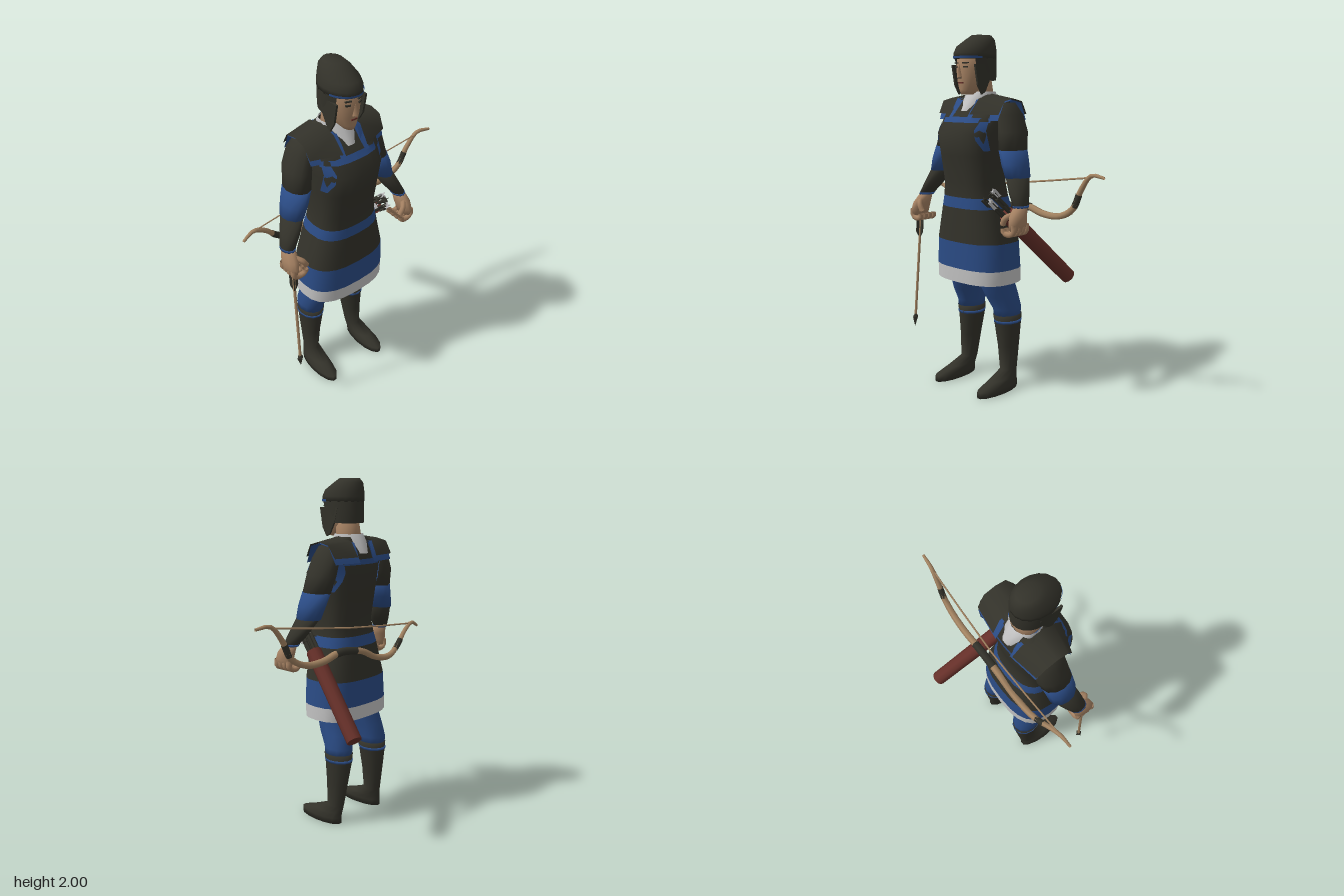
import * as THREE from 'three';

const CX = -0.13; // body axis
const V = (x, y, z) => new THREE.Vector3(x, y, z);
const paint = (name, color) => {
  const m = new THREE.MeshStandardMaterial({ color, side: THREE.DoubleSide });
  m.name = name;
  return m;
};

// Horizontal rings [x, y, z, rx, rz], listed from low to high, joined into a skin
function loft(rings, { n = 14, p = 1, from = 0, to = Math.PI * 2, caps = true } = {}) {
  const pos = [], idx = [], closed = to - from > 6.28, cols = closed ? n : n + 1;
  const pw = v => Math.sign(v) * Math.abs(v) ** p;
  for (const [x, y, z, rx, rz] of rings) {
    for (let j = 0; j < cols; j++) {
      const a = from + (to - from) * j / n;
      pos.push(x + rx * pw(Math.cos(a)), y, z + rz * pw(Math.sin(a)));
    }
  }
  for (let i = 0; i < rings.length - 1; i++) {
    for (let j = 0; j < n; j++) {
      const a = i * cols + j, b = i * cols + (j + 1) % cols;
      idx.push(a, a + cols, b, b, a + cols, b + cols);
    }
  }
  if (caps && closed) {
    const low = pos.length / 3, top = (rings.length - 1) * cols, last = rings[rings.length - 1];
    pos.push(...rings[0].slice(0, 3), ...last.slice(0, 3));
    for (let j = 0; j < n; j++) {
      idx.push(low, j, (j + 1) % n, low + 1, top + (j + 1) % n, top + j);
    }
  }
  return skin(pos, idx);
}

function skin(pos, idx) {
  const g = new THREE.BufferGeometry();
  g.setAttribute('position', new THREE.Float32BufferAttribute(pos, 3));
  g.setIndex(idx);
  g.computeVertexNormals();
  return g;
}

// Strip joining two equally long rows of points
function strip(a, b) {
  const pos = [], idx = [];
  a.forEach((v, i) => {
    pos.push(...v.toArray(), ...b[i].toArray());
    if (i) idx.push(2 * i - 2, 2 * i - 1, 2 * i, 2 * i, 2 * i - 1, 2 * i + 1);
  });
  return skin(pos, idx);
}

const tube = (pts, r, seg = 8, sides = 6) =>
  new THREE.TubeGeometry(new THREE.CatmullRomCurve3(pts), seg, r, sides, false);

// Torso outline: y, half width, front z, back z
const TORSO = [
  [0.64, 0.255, 0.28, -0.07], [0.72, 0.255, 0.283, -0.07], [0.87, 0.245, 0.285, -0.065],
  [1.06, 0.2, 0.275, -0.035], [1.12, 0.185, 0.27, -0.02], [1.2, 0.175, 0.27, -0.005],
  [1.35, 0.185, 0.295, -0.03], [1.47, 0.2, 0.31, -0.045], [1.57, 0.212, 0.232, -0.045],
  [1.64, 0.19, 0.17, -0.01], [1.68, 0.09, 0.13, 0.01]];
const P = 0.75;
const torsoRing = ([y, w, f, b]) => [CX, y, (f + b) / 2, w, (f - b) / 2];

// Point just outside the torso, front (+1) or back (-1)
function onTorso(x, y, face) {
  let i = 0;
  while (i < TORSO.length - 2 && TORSO[i + 1][0] < y) i++;
  const t = (y - TORSO[i][0]) / (TORSO[i + 1][0] - TORSO[i][0]);
  const [, w, f, b] = TORSO[i].map((v, k) => v + (TORSO[i + 1][k] - v) * t);
  const u = Math.min(1, Math.abs(x) / w) ** (2 / P);
  return V(CX + x, y, (f + b) / 2 + face * ((f - b) / 2 * Math.sqrt(1 - u) ** P + 0.006));
}

export function createModel() {
  const root = new THREE.Group();
  root.name = 'archer';
  const dark = paint('dark leather', 0x33322a), blue = paint('blue cloth', 0x2b4c86);
  const skinTone = paint('skin', 0xa68263), white = paint('white cloth', 0xc4c4c4);
  const red = paint('red quiver', 0x663029), wood = paint('wood', 0xa48462);
  const add = (name, geo, mat, parent = root) => {
    const m = new THREE.Mesh(geo, mat);
    m.name = name;
    parent.add(m);
    return m;
  };

  // Tunic, belt and breastplate, split by colour
  for (const [name, a, b, mat] of [['tunicHem', 0, 1, white], ['tunicSkirt', 1, 2, blue],
    ['hipArmour', 2, 3, dark], ['belt', 3, 4, blue], ['breastplate', 4, 10, dark]]) {
    add(name, loft(TORSO.slice(a, b + 1).map(torsoRing), { n: 24, p: P, caps: false }), mat);
  }
  add('collar', loft([[CX, 1.59, 0.085, 0.075, 0.137], [CX, 1.65, 0.08, 0.09, 0.107],
    [CX, 1.695, 0.08, 0.083, 0.078]], { caps: false }), white);
  add('neck', loft([[CX, 1.62, 0.08, 0.08, 0.08], [CX, 1.7, 0.085, 0.07, 0.07],
    [CX, 1.79, 0.1, 0.065, 0.07]]), skinTone);

  // Blue trims lying on the breastplate: [x, y inner edge] to [x, y outer edge]
  const trims = [
    [[[0, 1.53], [0.06, 1.53], [0.12, 1.53], [0.19, 1.53]], [[0, 1.56], [0.06, 1.56], [0.12, 1.555], [0.19, 1.555]]],
    [[[0.055, 1.65], [0.055, 1.6], [0.06, 1.55]], [[0.09, 1.65], [0.09, 1.6], [0.09, 1.55]]],
    [[[0.15, 1.535], [0.14, 1.49], [0.15, 1.44], [0.172, 1.38]], [[0.185, 1.535], [0.185, 1.49], [0.188, 1.44], [0.185, 1.38]]]];
  for (const face of [1, -1]) for (const s of [1, -1]) for (const [a, b] of trims) {
    const row = pts => pts.map(([x, y]) => onTorso(s * x, y, face));
    add('breastplateTrim', strip(row(a), row(b)), blue);
  }

  for (const s of [1, -1]) {
    const side = s > 0 ? 'left' : 'right';
    const X = v => CX + s * v;
    const limb = (name, rings, mat, n = 12) =>
      add(side + name, loft(rings.map(([x, ...r]) => [X(x), ...r]), { n }), mat);

    // Shoulder plates with a blue edge beneath
    const plate = (name, inX, outX, drop, lift, mat) => {
      const inner = [[1.57, 0.245], [1.655, 0.18], [1.68, 0.08], [1.655, -0.015], [1.57, -0.06]];
      const outer = [[1.57, 0.185], [1.64, 0.145], [1.655, 0.08], [1.64, 0.01], [1.57, -0.035]];
      const row = (pts, x) => pts.map(([y, z], i) =>
        V(X(x - (i % 4 ? 0 : 0.008)), y + lift - (i % 4 ? 0 : drop), z));
      add(side + name, strip(row(inner, inX), row(outer, outX)), mat);
    };
    plate('ShoulderPlate', 0.085, 0.245, 0, 0.004, dark);
    plate('ShoulderTrim', 0.065, 0.24, 0.025, -0.004, blue);

    // Arm
    limb('UpperSleeve', [[0.255, 1.38, 0.09, 0.065, 0.09], [0.235, 1.48, 0.07, 0.068, 0.095],
      [0.205, 1.57, 0.065, 0.06, 0.09], [0.18, 1.635, 0.07, 0.045, 0.06]], dark);
    limb('SleeveCuff', [[0.305, 1.24, 0.105, 0.056, 0.08], [0.282, 1.31, 0.1, 0.066, 0.087],
      [0.255, 1.385, 0.09, 0.066, 0.091]], blue);
    limb('Bracer', [[0.383, 1.1, 0.165, 0.036, 0.048], [0.348, 1.16, 0.14, 0.047, 0.063],
      [0.305, 1.245, 0.107, 0.053, 0.076]], dark);
    limb('BracerTrim', [[0.384, 1.092, 0.168, 0.037, 0.049], [0.38, 1.104, 0.163, 0.039, 0.051]], blue);
    limb('Palm', [[0.4, 0.97, 0.205, 0.022, 0.055], [0.398, 1.01, 0.205, 0.033, 0.064],
      [0.392, 1.05, 0.195, 0.038, 0.06], [0.384, 1.1, 0.168, 0.032, 0.043]], skinTone, 10);
    for (let k = 0; k < 4; k++) {
      const z = 0.155 + k * 0.032;
      add(side + 'Finger', tube([V(X(0.41), 1.01, z), V(X(0.41), 0.97, z), V(X(0.375), 0.955, z),
        V(X(0.34), 0.965, z), V(X(0.338), 0.985, z)], 0.016), skinTone);
    }
    add(side + 'Thumb', tube([V(X(0.38), 1.06, 0.22), V(X(0.35), 1.04, 0.25),
      V(X(0.33), 1.005, 0.25)], 0.016), skinTone);

    // Leg
    limb('Trouser', [[0.15, 0.42, 0.025, 0.07, 0.085], [0.148, 0.47, 0.025, 0.074, 0.09],
      [0.135, 0.55, 0.055, 0.08, 0.105], [0.118, 0.64, 0.085, 0.084, 0.115],
      [0.11, 0.8, 0.1, 0.09, 0.12]], blue);
    limb('Boot', [[0.178, 0, 0.137, 0.054, 0.153], [0.178, 0.035, 0.137, 0.056, 0.153],
      [0.172, 0.07, 0.085, 0.05, 0.103], [0.165, 0.11, 0.033, 0.041, 0.056],
      [0.158, 0.25, 0.025, 0.053, 0.069], [0.15, 0.38, 0.022, 0.069, 0.084],
      [0.149, 0.435, 0.024, 0.075, 0.09]], dark, 14);
    limb('BootBand', [[0.15, 0.388, 0.022, 0.073, 0.088], [0.15, 0.404, 0.022, 0.075, 0.09]], blue);

    // Cheek guard and eye
    const guard = new THREE.Shape([[0.215, 1.84], [0.195, 1.73], [0.165, 1.68], [0.14, 1.695],
      [0.1, 1.77], [0.08, 1.84]].map(([z, y]) => new THREE.Vector2(z, y)));
    const g = new THREE.ExtrudeGeometry(guard, { depth: 0.012, bevelEnabled: false });
    g.rotateY(-Math.PI / 2).translate(X(0.09) + 0.006, 0, 0);
    add(side + 'CheekGuard', g, dark);
    for (const [name, y, w, h, z] of [['Eye', 1.826, 0.026, 0.008, 0.23], ['Brow', 1.848, 0.036, 0.006, 0.231]]) {
      add(side + name, new THREE.BoxGeometry(w, h, 0.009).rotateY(s * 0.35)
        .translate(X(0.036), y, z), dark);
    }
  }

  // Head and face
  add('head', loft([[CX, 1.68, 0.185, 0.028, 0.04], [CX, 1.705, 0.165, 0.05, 0.067],
    [CX, 1.75, 0.145, 0.075, 0.09], [CX, 1.82, 0.138, 0.086, 0.102],
    [CX, 1.92, 0.125, 0.085, 0.1]], { n: 16 }), skinTone);
  add('nose', new THREE.ConeGeometry(0.02, 0.07, 4).translate(CX, 1.805, 0.243), skinTone);
  add('nostrils', new THREE.BoxGeometry(0.024, 0.006, 0.008).translate(CX, 1.768, 0.243), dark);
  add('mouth', new THREE.BoxGeometry(0.036, 0.008, 0.008).translate(CX, 1.742, 0.232), red);

  // Helmet
  add('helmetDome', loft([[CX, 1.87, 0.125, 0.1, 0.132], [CX, 1.9, 0.123, 0.1, 0.134],
    [CX, 1.935, 0.115, 0.092, 0.124], [CX, 1.975, 0.085, 0.073, 0.09],
    [CX, 2, 0.075, 0.048, 0.06]], { n: 18 }), dark);
  add('helmetNeckGuard', loft([[CX, 1.755, 0.11, 0.093, 0.115], [CX, 1.81, 0.117, 0.098, 0.124],
    [CX, 1.875, 0.125, 0.1, 0.132]], { from: Math.PI / 2 + 0.95, to: Math.PI * 2.5 - 0.95 }), dark);
  add('helmetRim', loft([[CX, 1.872, 0.125, 0.101, 0.133], [CX, 1.884, 0.125, 0.102, 0.135]],
    { n: 18, from: 0.3, to: Math.PI - 0.3 }), blue);

  // Recurve bow slung across the back
  const bow = new THREE.Group();
  bow.name = 'bow';
  root.add(bow);
  const bowLine = new THREE.CatmullRomCurve3([[-0.665, 1.1], [-0.6, 1.13], [-0.52, 1.09],
    [-0.45, 1.02], [-0.36, 0.965], [-0.22, 0.98], [-0.1, 1.035], [0, 1.055], [0.1, 1.06],
    [0.22, 1.03], [0.34, 1.03], [0.44, 1.08], [0.5, 1.19], [0.57, 1.27], [0.66, 1.265]]
    .map(([x, y]) => V(x, y, -0.055 + 0.1 * x * x)));
  const limbs = new THREE.TubeGeometry(bowLine, 48, 0.02, 6, false);
  const lp = limbs.attributes.position, q = V(0, 0, 0);
  for (let i = 0; i < lp.count; i++) { // thin the tips
    const t = Math.floor(i / 7) / 48, c = bowLine.getPointAt(t);
    q.fromBufferAttribute(lp, i).sub(c).multiplyScalar(1 - 0.6 * Math.abs(2 * t - 1) ** 3).add(c);
    lp.setXYZ(i, q.x, q.y, q.z);
  }
  add('bowLimbs', limbs, wood, bow);
  for (const [a, b, r] of [[0.46, 0.57, 0.023], [0.15, 0.2, 0.018], [0.8, 0.85, 0.018]]) {
    const pts = [0, 1, 2, 3, 4].map(k => bowLine.getPointAt(a + (b - a) * k / 4));
    add('bowWrap', tube(pts, r), dark, bow);
  }
  add('bowString', tube([V(-0.6, 1.125, -0.02), V(-0.03, 1.18, -0.04), V(0.58, 1.262, -0.02)], 0.005, 4, 4), wood, bow);

  // Quiver on the left hip, with arrows
  const quiver = new THREE.Group();
  quiver.name = 'quiver';
  quiver.position.set(0.22, 0.63, -0.28);
  quiver.quaternion.setFromUnitVectors(V(0, 1, 0), V(-0.12, 0.45, 0.45).normalize());
  root.add(quiver);
  add('quiverCase', new THREE.CylinderGeometry(0.045, 0.043, 0.59, 10).translate(0, 0.295, 0), red, quiver);
  for (let k = 0; k < 6; k++) {
    const a = k * Math.PI / 3, x = 0.028 * Math.cos(a), z = 0.028 * Math.sin(a), top = 0.69 + 0.02 * (k % 3);
    add('quiverArrow', new THREE.CylinderGeometry(0.011, 0.009, top - 0.55, 5)
      .translate(x, (top + 0.55) / 2, z), dark, quiver);
    for (const turn of [0, Math.PI / 2]) {
      add('quiverFletching', new THREE.BoxGeometry(0.032, 0.055, 0.004).rotateY(a + turn)
        .translate(x * 1.25, top - 0.01, z * 1.25), k % 2 ? white : dark, quiver);
    }
  }

  // Arrow held in the right hand, pointing down
  const arrow = new THREE.Group();
  arrow.name = 'heldArrow';
  arrow.position.set(-0.535, 0.27, 0.262);
  arrow.quaternion.setFromUnitVectors(V(0, 1, 0), V(0.018, 0.75, -0.055).normalize());
  root.add(arrow);
  add('arrowShaft', new THREE.CylinderGeometry(0.008, 0.008, 0.7, 6).translate(0, 0.4, 0), wood, arrow);
  add('arrowHead', new THREE.ConeGeometry(0.02, 0.06, 4).rotateX(Math.PI).translate(0, 0.045, 0), dark, arrow);
  add('arrowSocket', new THREE.CylinderGeometry(0.008, 0.02, 0.02, 4).translate(0, 0.085, 0), dark, arrow);
  const vane = new THREE.Shape([[0, 0.56], [0.024, 0.6], [0.024, 0.67], [0, 0.7]].map(([x, y]) => new THREE.Vector2(x, y)));
  for (let k = 0; k < 3; k++) {
    add('arrowFletching', new THREE.ExtrudeGeometry(vane, { depth: 0.006, bevelEnabled: false })
      .translate(0, 0, -0.003).rotateY(k * Math.PI * 2 / 3), dark, arrow);
  }
  return root;
}
